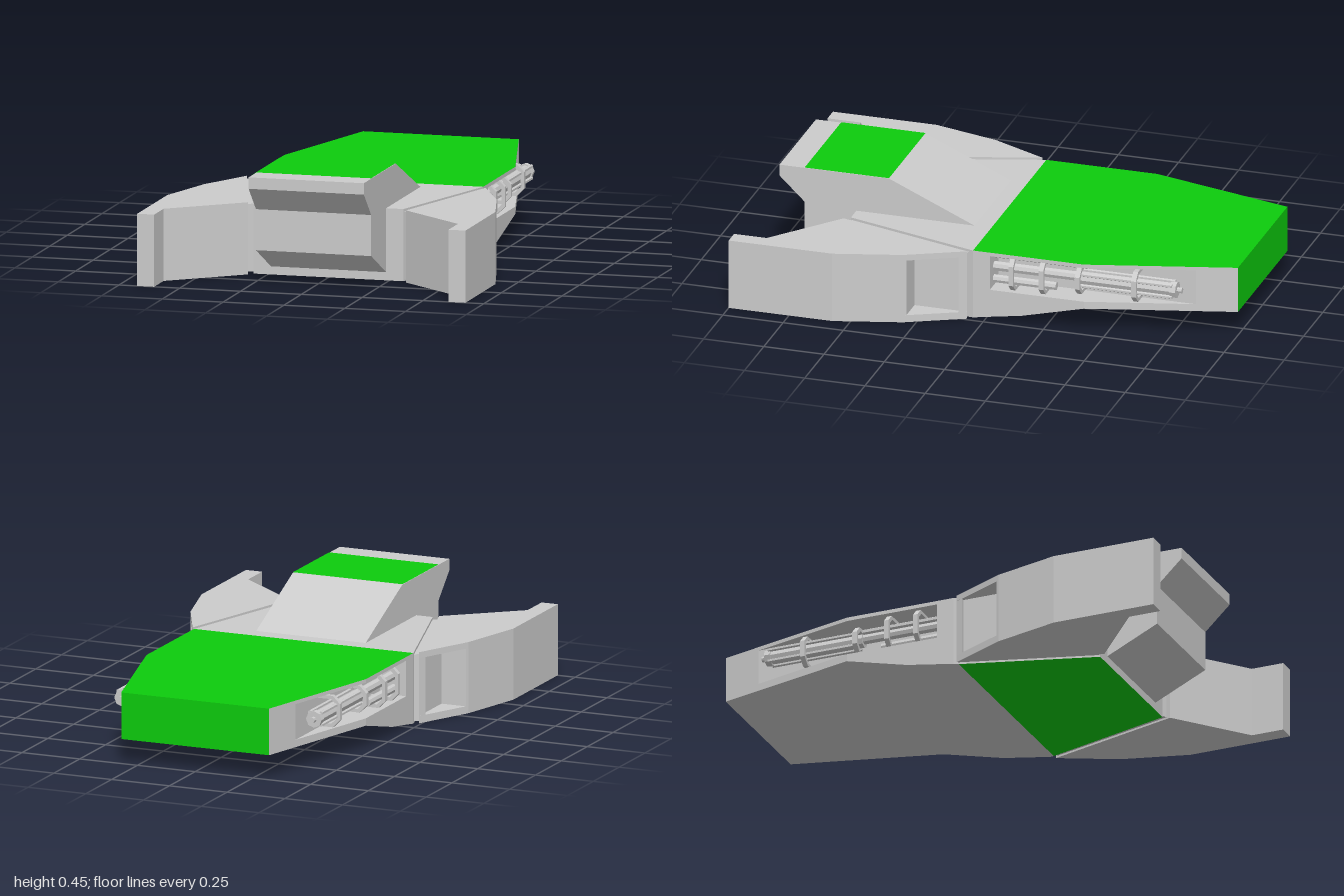
import * as THREE from 'three';

const GREY = new THREE.MeshStandardMaterial({ color: 0xcccccc, flatShading: true });
const GREEN = new THREE.MeshStandardMaterial({ color: 0x0dcc0d, flatShading: true });
const TOP = 0.29;

function addMesh(parent, name, geometry, material = GREY) {
  const mesh = new THREE.Mesh(geometry, material);
  mesh.name = name;
  parent.add(mesh);
  return mesh;
}

// Geometry from a list of four-cornered panels, corners counter-clockwise
function panels(quads) {
  const pos = [];
  for (const [a, b, c, d] of quads) pos.push(...a, ...b, ...c, ...a, ...c, ...d);
  const g = new THREE.BufferGeometry();
  g.setAttribute('position', new THREE.Float32BufferAttribute(pos, 3));
  g.computeVertexNormals();
  return g;
}
const flip = (q) => [...q].reverse();
const mirrorX = (q) => flip(q.map(([x, y, z]) => [-x, y, z]));

const toShape = (pts) => new THREE.Shape(pts.map(([x, y]) => new THREE.Vector2(x, y)));

// Slab with an (x, z) outline between two heights
function slab(pts, y0, y1) {
  const g = new THREE.ExtrudeGeometry(toShape(pts), { depth: y1 - y0, bevelEnabled: false });
  return g.rotateX(Math.PI / 2).translate(0, y1, 0);
}

// Hull: stations of z, half width and underside height, with a bay in each side
function buildHull(group) {
  const stations = [
    [-1, 0.32, 0.1], [-0.84, 0.362, 0.1], [-0.41, 0.475, 0.1], [-0.15, 0.475, 0.035],
    [-0.02, 0.475, 0.014], [0.05, 0.475, 0.002], [0.07, 0.469, 0], [0.61, 0.308, 0],
  ];
  const bayX = 0.362, bayLow = 0.13, bayHigh = 0.275;
  const grey = [], green = [];
  for (let i = 0; i < stations.length - 1; i++) {
    const [z0, x0, b0] = stations[i], [z1, x1, b1] = stations[i + 1];
    const wall = (xa, xb, la, lb, h) => [[xa, la, z0], [xa, h, z0], [xb, h, z1], [xb, lb, z1]];
    const shelf = (y) => [[bayX, y, z0], [bayX, y, z1], [x1, y, z1], [x0, y, z0]];
    const side = [];
    if (i >= 1 && i <= 3) {
      side.push(
        wall(x0, x1, b0, b1, bayLow), wall(x0, x1, bayHigh, bayHigh, TOP),
        wall(bayX, bayX, bayLow, bayLow, bayHigh), shelf(bayLow), flip(shelf(bayHigh)),
      );
      if (i === 3) {
        side.push([[bayX, bayLow, z1], [bayX, bayHigh, z1], [x1, bayHigh, z1], [x1, bayLow, z1]]);
      }
    } else side.push(wall(x0, x1, b0, b1, TOP));
    grey.push(...side, ...side.map(mirrorX));

    const deck = (ya, yb) => [[-x0, ya, z0], [-x1, yb, z1], [x1, yb, z1], [x0, ya, z0]];
    (i < 5 ? green : grey).push(deck(TOP, TOP));
    (i === 6 ? green : grey).push(flip(deck(b0, b1)));
  }
  const end = ([z, x, b]) => [[-x, b, z], [-x, TOP, z], [x, TOP, z], [x, b, z]];
  green.push(end(stations[0]));
  grey.push(flip(end(stations[stations.length - 1])));
  addMesh(group, 'hull', panels(grey));
  addMesh(group, 'hullPaintedPanels', panels(green), GREEN);
}

// Raised cabin with a sloping back and an overhanging nose, profile in (z, y)
function buildCabin(group) {
  const w = 0.237;
  const profile = [
    [0.12, 0.28], [0.12, TOP], [0.475, 0.446], [0.93, 0.446], [0.93, 0.4],
    [0.825, 0.3], [0.825, 0.135], [0.6, 0.028], [0.5, 0.028], [0.5, 0.28],
  ];
  const g = new THREE.ExtrudeGeometry(toShape(profile), { depth: 2 * w, bevelEnabled: false });
  addMesh(group, 'cabin', g.translate(0, 0, -w).rotateY(-Math.PI / 2));
  const y = 0.4475;
  addMesh(group, 'cabinRoofPanel',
    panels([[[-w, y, 0.475], [-w, y, 0.825], [w, y, 0.825], [w, y, 0.475]]]), GREEN);
}

// Forward-reaching prong with a recessed window in its outer rear face
function buildProng(group, s) {
  const rear = [0.49, 0.07], shoulder = [0.602, 0.3];
  const rest = [[0.675, 0.57], [0.675, 1], [0.605, 1], [0.605, 0.865], [0.325, 0.635]];
  const notch = [[0.504, 0.1], [0.49, 0.1], [0.49, 0.288], [0.596, 0.288]];
  const side = (pts) => pts.map(([x, z]) => [s * x, z]);
  const solid = side([rear, shoulder, ...rest]);
  const cut = side([rear, ...notch, shoulder, ...rest]);
  const prong = new THREE.Group();
  prong.name = s > 0 ? 'leftProng' : 'rightProng';
  addMesh(prong, 'prongBase', slab(solid, 0, 0.03));
  addMesh(prong, 'prongMiddle', slab(cut, 0.03, 0.265));
  addMesh(prong, 'prongTop', slab(solid, 0.265, TOP));
  addMesh(prong, 'hingeStrip',
    slab(side([[0.465, 0.065], [0.49, 0.08], [0.332, 0.618], [0.3, 0.6]]), 0.008, 0.28));
  group.add(prong);
}

// Pipework and brackets in the side bay
function buildMachinery(group, s) {
  const bay = new THREE.Group();
  bay.name = s > 0 ? 'leftMachinery' : 'rightMachinery';
  const rod = (name, x, y, r, z0, z1, sides = 8) => {
    const g = new THREE.CylinderGeometry(r, r, z1 - z0, sides);
    g.rotateX(Math.PI / 2).translate(s * x, y, (z0 + z1) / 2);
    addMesh(bay, name, g);
  };
  rod('shaft', 0.415, 0.21, 0.02, -0.36, -0.02);
  rod('barrel', 0.415, 0.205, 0.028, -0.77, -0.36);
  rod('nozzle', 0.415, 0.205, 0.012, -0.8, -0.77);
  rod('barrelCap', 0.415, 0.205, 0.034, -0.78, -0.755);
  rod('lowerPipe', 0.42, 0.158, 0.017, -0.28, -0.02);
  rod('upperPipe', 0.4, 0.25, 0.011, -0.4, -0.02, 6);
  for (let i = 0; i < 4; i++) {
    const a = Math.PI / 4 + (i * Math.PI) / 2;
    rod('barrelRail', 0.415 + 0.034 * Math.cos(a), 0.205 + 0.034 * Math.sin(a), 0.008, -0.765, -0.38, 6);
  }
  // Hooped brackets: z, outer x, low y, high y
  const brackets = [
    [-0.11, 0.485, 0.132, 0.274], [-0.235, 0.485, 0.132, 0.272],
    [-0.38, 0.468, 0.145, 0.256], [-0.61, 0.456, 0.137, 0.265],
  ];
  for (const [z, x, lo, hi] of brackets) {
    const t = 0.014, c = 0.03, inner = 0.355;
    const hoop = toShape([
      [inner, lo], [x - c, lo], [x, lo + c], [x, hi - c], [x - c, hi], [inner, hi],
      [inner, hi - t], [x - c - t / 2, hi - t], [x - t, hi - c - t / 2],
      [x - t, lo + c + t / 2], [x - c - t / 2, lo + t], [inner, lo + t],
    ].map(([px, py]) => [s * px, py]));
    const g = new THREE.ExtrudeGeometry(hoop, { depth: 0.02, bevelEnabled: false });
    addMesh(bay, 'bracket', g.translate(0, 0, z - 0.01));
  }
  group.add(bay);
}

export function createModel() {
  const model = new THREE.Group();
  model.name = 'spacecraft';
  buildHull(model);
  buildCabin(model);
  for (const s of [1, -1]) {
    buildProng(model, s);
    buildMachinery(model, s);
  }
  return model;
}
